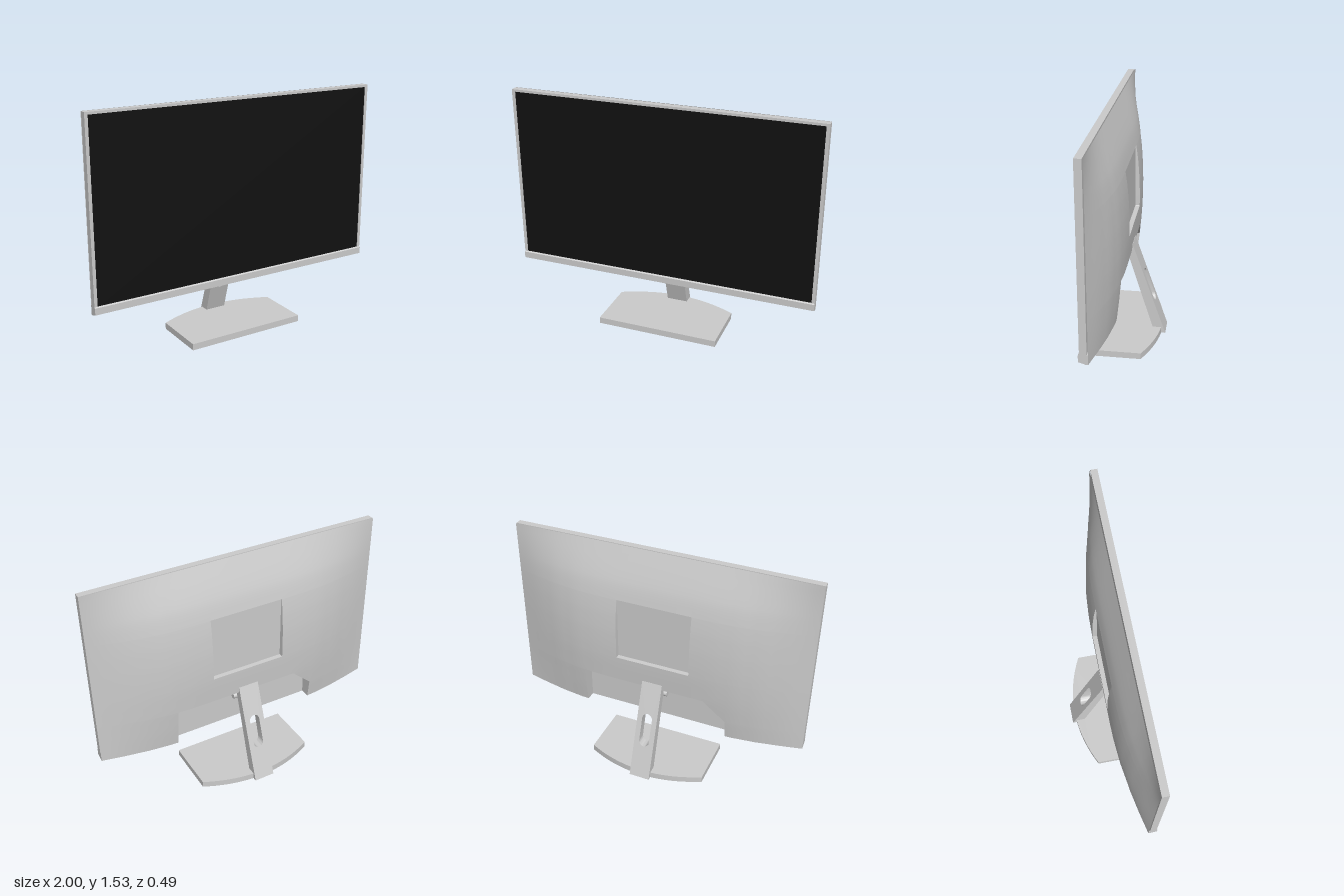
import * as THREE from 'three';
import { toCreasedNormals } from 'three/addons/utils/BufferGeometryUtils.js';

const grey = new THREE.MeshStandardMaterial({ color: 0xcccccc });
const greyThin = new THREE.MeshStandardMaterial({ color: 0xcccccc, side: THREE.DoubleSide });
const black = new THREE.MeshStandardMaterial({ color: 0x111111 });

function add(group, name, geometry, material = grey) {
  const mesh = new THREE.Mesh(geometry, material);
  mesh.name = name;
  group.add(mesh);
  return mesh;
}

function polygon(points) {
  return new THREE.Shape(points.map(([x, y]) => new THREE.Vector2(x, y)));
}

// Piecewise linear lookup in [position, value] pairs
function lookup(table, t) {
  for (let i = 1; i < table.length; i++) {
    const [a, va] = table[i - 1], [b, vb] = table[i];
    if (t <= b) return THREE.MathUtils.lerp(va, vb, (t - a) / (b - a));
  }
  return table[table.length - 1][1];
}

// Evenly spaced values between breaks; each inner break becomes a close pair, making a sharp wall
function steps(breaks, size) {
  const out = [], e = 0.001;
  for (let k = 1; k < breaks.length; k++) {
    const a = breaks[k - 1] + (k > 1 ? e : 0);
    const b = breaks[k] - (k < breaks.length - 1 ? e : 0);
    const n = Math.ceil((b - a) / size);
    for (let i = 0; i <= n; i++) out.push(a + (b - a) * i / n);
  }
  return out;
}

// Domed back shell with a stand recess at the bottom and a square mounting pocket
function backShell() {
  const across = [[0, 1], [0.3, 1], [0.42, 0.98], [0.55, 0.9], [0.7, 0.69], [0.85, 0.37], [1, 0]];
  const upward = [[0.33, 0.69], [0.45, 0.81], [0.6, 0.93], [0.75, 0.99], [0.85, 1], [0.97, 0.98],
    [1.1, 0.91], [1.2, 0.81], [1.3, 0.65], [1.4, 0.38], [1.53, 0]];
  const recessTop = [[-0.5, 0.46], [-0.35, 0.6], [1, 0.6]];
  const xs = steps([-1, -0.5, -0.25, 0.25, 0.5, 1], 0.05);
  const vs = steps([0.33, 0.6, 0.78, 1.2, 1.53], 0.045);
  const positions = [], index = [], cols = xs.length;

  // Front edge of the underside
  for (const x of xs) positions.push(x, 0.33, 0.1);
  for (const v of vs) for (const x of xs) {
    const top = lookup(recessTop, Math.max(x, -0.5));
    let y = v;
    if (v < 0.6) y = 0.33 + (v - 0.33) * (top - 0.33) / 0.27;
    else if (v < 0.78) y = top + (v - 0.6) * (0.78 - top) / 0.18;
    let z = 0.1 - 0.13 * lookup(across, Math.abs(x)) * lookup(upward, y);
    if (v < 0.6 && Math.abs(x) < 0.5) z = 0.08;
    if (v > 0.78 && v < 1.2 && Math.abs(x) < 0.25) z = Math.max(z, 0);
    positions.push(x, y, z);
  }
  for (let j = 0; j < vs.length; j++) for (let i = 0; i < cols - 1; i++) {
    const a = j * cols + i, b = a + 1, c = a + cols, d = c + 1;
    index.push(a, c, b, b, c, d);
  }
  const geometry = new THREE.BufferGeometry();
  geometry.setAttribute('position', new THREE.Float32BufferAttribute(positions, 3));
  geometry.setIndex(index);
  return toCreasedNormals(geometry, 0.6);
}

// Leaning neck: a slotted plate sheared so that it thins towards the top
function neckGeometry() {
  const plate = polygon([[-0.07, 0], [0.07, 0], [0.07, 0.64], [-0.07, 0.64]]);
  const slot = new THREE.Path();
  slot.moveTo(-0.035, 0.25);
  slot.absarc(0, 0.25, 0.035, Math.PI, Math.PI * 2, false);
  slot.absarc(0, 0.4, 0.035, 0, Math.PI, false);
  plate.holes.push(slot);
  const geometry = new THREE.ExtrudeGeometry(plate, { depth: 1, bevelEnabled: false, curveSegments: 10 });
  const p = geometry.attributes.position;
  for (let i = 0; i < p.count; i++) {
    const y = p.getY(i);
    p.setZ(i, THREE.MathUtils.lerp(-0.245 + 0.344 * y, -0.172 + 0.309 * y, p.getZ(i)));
  }
  return toCreasedNormals(geometry, 0.6);
}

export function createModel() {
  const model = new THREE.Group();
  model.name = 'monitor';

  // Display: frame, screen, chin
  const frame = polygon([[-1, 0.36], [1, 0.36], [1, 1.53], [-1, 1.53]]);
  frame.holes.push(polygon([[-0.98, 0.385], [-0.98, 1.515], [0.98, 1.515], [0.98, 0.385]]));
  add(model, 'frame', new THREE.ExtrudeGeometry(frame, { depth: 0.043, bevelEnabled: false }))
    .position.z = 0.107;
  add(model, 'frameBack', new THREE.BoxGeometry(1.98, 1.16, 0.02)).position.set(0, 0.945, 0.118);
  add(model, 'screen', new THREE.BoxGeometry(1.962, 1.132, 0.018), black).position.set(0, 0.95, 0.136);

  const chin = polygon([[0.1, 0.33], [0.112, 0.33], [0.157, 0.345], [0.157, 0.388], [0.15, 0.393], [0.1, 0.393]]);
  const chinGeometry = new THREE.ExtrudeGeometry(chin, { depth: 2, bevelEnabled: false });
  chinGeometry.translate(0, 0, -1).rotateY(-Math.PI / 2);
  // Turn the profile's first axis to face forward
  add(model, 'chin', chinGeometry);

  add(model, 'backShell', backShell(), greyThin);

  // Stand: neck, hinge, foot
  const stand = new THREE.Group();
  stand.name = 'stand';
  model.add(stand);
  add(stand, 'neck', neckGeometry());
  add(stand, 'hingeBlock', new THREE.BoxGeometry(0.1, 0.07, 0.08)).position.set(0, 0.56, 0.045);
  const pin = add(stand, 'hingePin', new THREE.CylinderGeometry(0.02, 0.02, 0.18, 16));
  pin.rotation.z = Math.PI / 2;
  pin.position.set(0, 0.55, 0.025);

  const foot = new THREE.Shape();
  foot.moveTo(-0.405, -0.245);
  foot.lineTo(0.405, -0.245);
  foot.lineTo(0.405, 0.12);
  foot.quadraticCurveTo(0, 0.32, -0.405, 0.12);
  const footGeometry = new THREE.ExtrudeGeometry(foot, { depth: 0.042, bevelEnabled: false, curveSegments: 20 });
  footGeometry.rotateX(-Math.PI / 2);
  add(stand, 'foot', toCreasedNormals(footGeometry, 0.5));

  return model;
}
